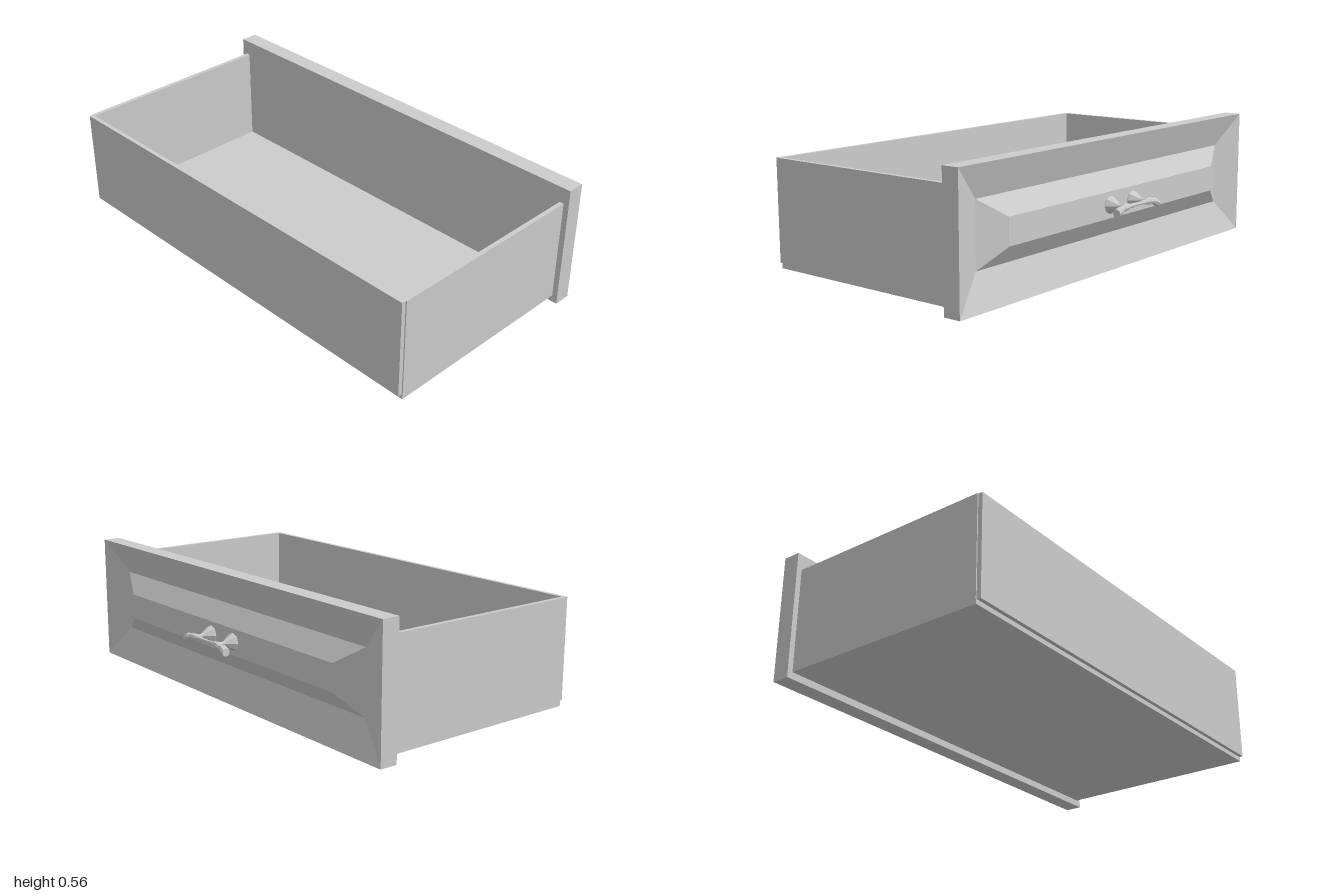
import * as THREE from 'three';

const grey = new THREE.MeshStandardMaterial({ color: 0xcccccc, flatShading: true });

function add(group, name, geometry, x = 0, y = 0, z = 0) {
  const mesh = new THREE.Mesh(geometry, grey);
  mesh.name = name;
  mesh.position.set(x, y, z);
  group.add(mesh);
  return mesh;
}

// Box given by its two extreme corners
function block(group, name, [x0, y0, z0], [x1, y1, z1]) {
  add(group, name, new THREE.BoxGeometry(x1 - x0, y1 - y0, z1 - z0),
    (x0 + x1) / 2, (y0 + y1) / 2, (z0 + z1) / 2);
}

// Skin over rectangles stacked along x: [x, half width in z, bottom y, top y]
function rectangleLoft(sections) {
  const rings = sections.map(([x, h, y0, y1]) =>
    [[x, y0, h], [x, y0, -h], [x, y1, -h], [x, y1, h]]);
  const pos = [];
  const quad = (a, b, c, d) => pos.push(...a, ...b, ...c, ...a, ...c, ...d);
  for (let r = 0; r + 1 < rings.length; r++) {
    const a = rings[r], b = rings[r + 1];
    for (let i = 0; i < 4; i++) {
      const j = (i + 1) % 4;
      quad(a[i], a[j], b[j], b[i]);
    }
  }
  const first = rings[0], last = rings[rings.length - 1];
  quad(first[3], first[2], first[1], first[0]);
  quad(...last);
  const g = new THREE.BufferGeometry();
  g.setAttribute('position', new THREE.Float32BufferAttribute(pos, 3));
  g.computeVertexNormals();
  return g;
}

// Bar along z with a rule for its radius and height: stations [z, y, radius]
function handleBar(stations) {
  const n = stations.length - 1;
  const g = new THREE.CylinderGeometry(1, 1, 1, 8, n);
  g.rotateX(Math.PI / 2);
  const p = g.attributes.position;
  for (let i = 0; i < p.count; i++) {
    const [z, y, r] = stations[Math.round((p.getZ(i) + 0.5) * n)];
    p.setXYZ(i, p.getX(i) * r, y + p.getY(i) * r, z);
  }
  g.computeVertexNormals();
  return g;
}

export function createModel() {
  const drawer = new THREE.Group();
  drawer.name = 'drawer';

  // Open box
  block(drawer, 'floor', [-0.55, 0.03, -0.975], [0.38, 0.05, 0.975]);
  block(drawer, 'backWall', [-0.567, 0.05, -0.97], [-0.548, 0.49, 0.97]);
  for (const s of [-1, 1]) {
    block(drawer, s > 0 ? 'leftWall' : 'rightWall',
      [-0.548, 0.05, s * 0.965 - 0.01], [0.38, 0.49, s * 0.965 + 0.01]);
  }

  // Front board: frame slopes in to a groove, then rises to the centre panel
  add(drawer, 'frontBoard', rectangleLoft([
    [0.38, 1, 0, 0.56],
    [0.458, 1, 0, 0.56],
    [0.41, 0.857, 0.148, 0.42],
    [0.464, 0.73, 0.226, 0.34],
  ]));

  // Pull handle
  const handle = new THREE.Group();
  handle.name = 'handle';
  drawer.add(handle);
  const half = [[0.02, 0.285, 0.008], [0.06, 0.285, 0.01], [0.075, 0.285, 0.015],
    [0.095, 0.284, 0.016], [0.11, 0.281, 0.012], [0.13, 0.276, 0.018], [0.15, 0.267, 0.018]];
  const mirrored = half.map(([z, y, r]) => [-z, y, r]).reverse();
  add(handle, 'bar', handleBar([...mirrored, ...half]), 0.546);

  // Flared posts joining the bar to the panel
  const profile = [[0, 0], [0.038, 0], [0.038, 0.006], [0.012, 0.046], [0.009, 0.055], [0.009, 0.08], [0, 0.08]]
    .map(([r, h]) => new THREE.Vector2(r, h));
  for (const s of [-1, 1]) {
    const post = add(handle, s > 0 ? 'leftPost' : 'rightPost',
      new THREE.LatheGeometry(profile, 8), 0.462, 0.284, s * 0.081);
    post.rotation.z = -Math.PI / 2;
  }
  return drawer;
}
